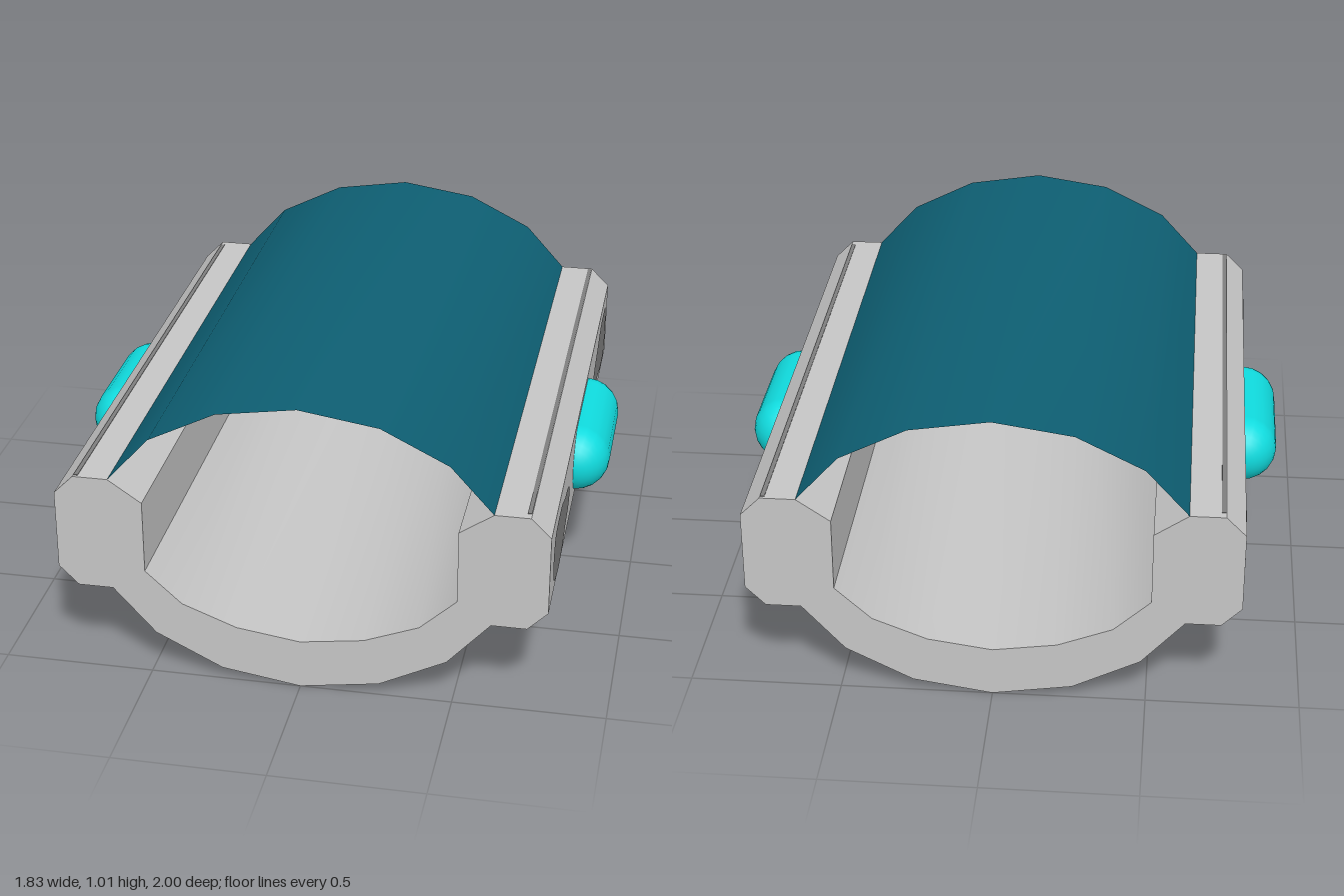
import * as THREE from 'three';
import { toCreasedNormals } from 'three/addons/utils/BufferGeometryUtils.js';

const shellGrey = new THREE.MeshStandardMaterial({ color: 0xc6c6c6 });
const markGrey = new THREE.MeshStandardMaterial({ color: 0x7e7e7e, side: THREE.DoubleSide });
const deepTeal = new THREE.MeshStandardMaterial({ color: 0x0e5f73, side: THREE.DoubleSide });
const brightCyan = new THREE.MeshStandardMaterial({ color: 0x10dcdf });

const LENGTH = 2;
const MID_Y = 0.505;

function addMesh(parent, name, geometry, material) {
  const mesh = new THREE.Mesh(geometry, material);
  mesh.name = name;
  parent.add(mesh);
  return mesh;
}

const toVectors = (pts) => pts.map(([x, y]) => new THREE.Vector2(x, y));

// Half of the trough cross-section, from the keel round the side rail to the floor
const halfSection = [
  [0, 0], [0.26, 0.04], [0.48, 0.15], [0.62, 0.305], [0.735, 0.305], [0.8, 0.37],
  [0.8, 0.64], [0.735, 0.705], [0.62, 0.705], [0.51, 0.63], [0.51, 0.38],
  [0.39, 0.27], [0.21, 0.2], [0, 0.17],
];

// Half of the canopy arch, from the crown down to the rail
const halfArch = [[0, 1.01], [0.26, 0.97], [0.48, 0.86], [0.62, 0.705]];

// Rounded side markings, as [-z, y] outlines
const frontMark = [
  [-0.93, 0.5], [-0.905, 0.585], [-0.81, 0.602], [-0.7, 0.598], [-0.6, 0.568], [-0.52, 0.56],
  [-0.45, 0.53], [-0.43, 0.5], [-0.46, 0.462], [-0.54, 0.438], [-0.63, 0.4], [-0.74, 0.386],
  [-0.85, 0.405], [-0.91, 0.445],
];
const rearMark = [
  [0.414, 0.505], [0.45, 0.535], [0.55, 0.565], [0.66, 0.605], [0.76, 0.614], [0.87, 0.605],
  [0.908, 0.54], [0.91, 0.45], [0.87, 0.406], [0.76, 0.403], [0.65, 0.423], [0.5, 0.44], [0.43, 0.465],
];

function makeShell() {
  const mirrored = halfSection.slice(1, -1).reverse().map(([x, y]) => [-x, y]);
  const shape = new THREE.Shape(toVectors([...halfSection, ...mirrored]));
  const geo = new THREE.ExtrudeGeometry(shape, { depth: LENGTH, bevelEnabled: false });
  geo.translate(0, 0, -LENGTH / 2);
  return toCreasedNormals(geo, THREE.MathUtils.degToRad(28));
}

// A flat sheet bent over the arch profile
function makeCanopy() {
  const arch = [...halfArch.slice(1).reverse().map(([x, y]) => [-x, y]), ...halfArch];
  const geo = new THREE.PlaneGeometry(1, LENGTH, arch.length - 1, 1).rotateX(-Math.PI / 2);
  const pos = geo.attributes.position;
  for (let i = 0; i < pos.count; i++) {
    const [x, y] = arch[i % arch.length];
    pos.setXYZ(i, x, y, pos.getZ(i));
  }
  geo.computeVertexNormals();
  return geo;
}

function makeMark(outline) {
  const curve = new THREE.SplineCurve(toVectors([...outline, outline[0]]));
  const geo = new THREE.ShapeGeometry(new THREE.Shape(curve.getPoints(48).slice(0, -1)));
  return geo.rotateY(Math.PI / 2).translate(0.803, 0, 0);
}

// Pod, markings and seam of one rail
function makeSide(name) {
  const side = new THREE.Group();
  side.name = name;
  const podGeo = new THREE.CapsuleGeometry(0.117, 0.346, 8, 20).rotateX(Math.PI / 2);
  addMesh(side, 'sidePod', podGeo, brightCyan).position.set(0.798, MID_Y, 0);
  addMesh(side, 'frontMarking', makeMark(frontMark), markGrey);
  addMesh(side, 'rearMarking', makeMark(rearMark), markGrey);
  addMesh(side, 'railSeam', new THREE.BoxGeometry(0.014, 0.004, 1.96), markGrey).position.set(0.727, 0.705, -0.01);
  return side;
}

export function createModel() {
  const model = new THREE.Group();
  model.name = 'coveredTrough';
  addMesh(model, 'troughShell', makeShell(), shellGrey);
  addMesh(model, 'canopy', makeCanopy(), deepTeal);

  // The second side is the first turned half round
  const rightSide = makeSide('rightSide');
  rightSide.rotation.y = Math.PI;
  model.add(makeSide('leftSide'), rightSide);
  return model;
}
